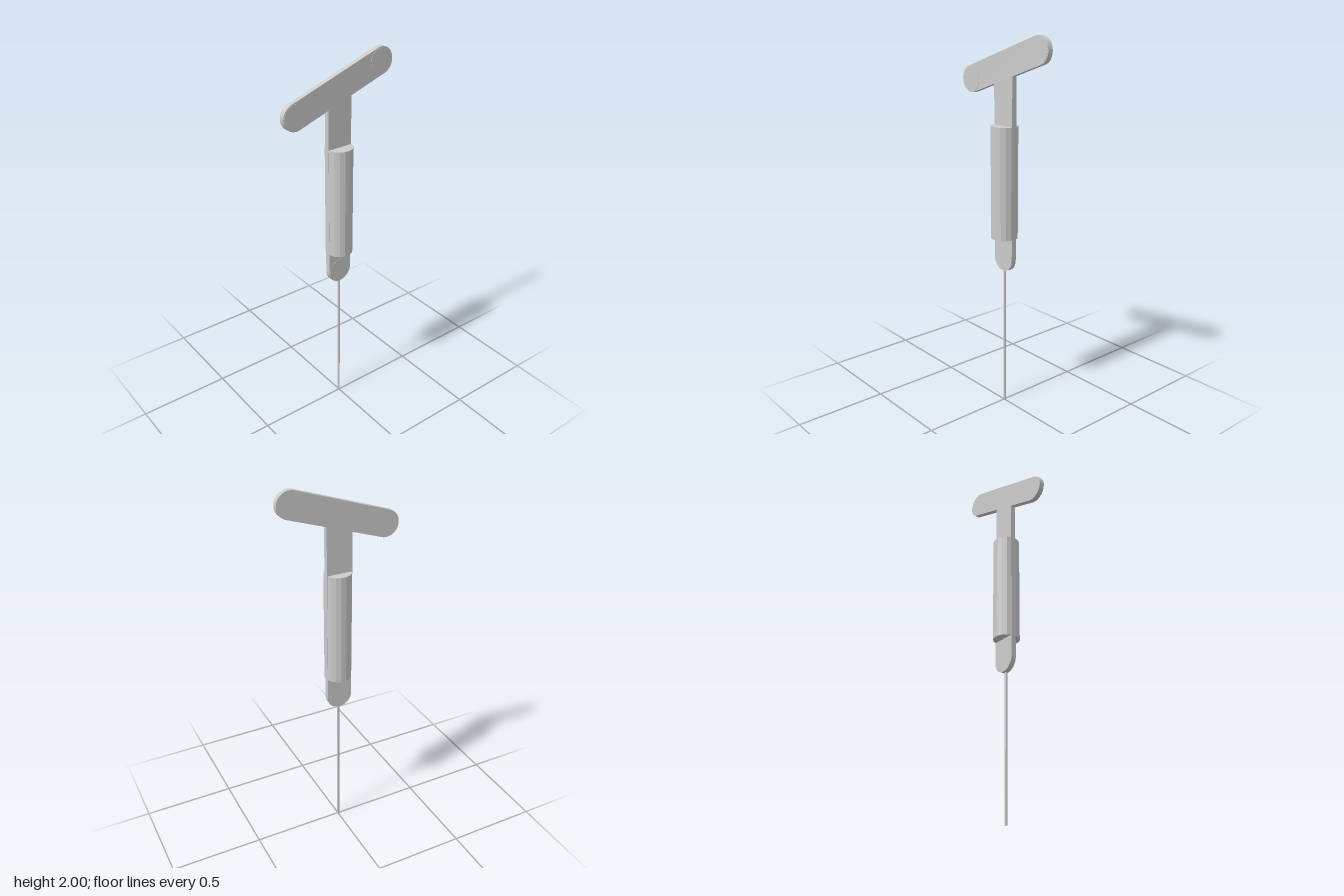
import * as THREE from 'three';

export function createModel() {
  const model = new THREE.Group();
  const material = new THREE.MeshStandardMaterial({ color: 0xcccccc, flatShading: true });
  const R = 0.069, BACK = -0.021, FRONT = 0.007;

  const add = (name, geometry, x = 0, y = 0, z = 0) => {
    const mesh = new THREE.Mesh(geometry, material);
    mesh.name = name;
    mesh.position.set(x, y, z);
    model.add(mesh);
    return mesh;
  };

  // Flat plate in one outline: round foot, stem and slanted crossbar
  const left = new THREE.Vector2(0.25, 1.931);
  const right = new THREE.Vector2(-0.254, 1.76);
  const slant = Math.atan2(left.y - right.y, left.x - right.x);
  const underside = (x) =>
    right.y + (x - right.x) * Math.tan(slant) - R / Math.cos(slant);
  const footY = 0.842;
  const outline = new THREE.Shape();
  outline.moveTo(-R, underside(-R));
  outline.lineTo(-R, footY);
  outline.absarc(0, footY, R, Math.PI, 2 * Math.PI, false);
  outline.lineTo(R, underside(R));
  outline.absarc(left.x, left.y, R, slant - Math.PI / 2, slant + Math.PI / 2, false);
  outline.absarc(right.x, right.y, R, slant + Math.PI / 2, slant + Math.PI * 1.5, false);
  outline.closePath();
  add('plate', new THREE.ExtrudeGeometry(outline, {
    depth: FRONT - BACK, bevelEnabled: false, curveSegments: 16,
  }), 0, 0, BACK);

  // Thin raised discs on the front of the three rounded ends
  const discs = [['leftDisc', left.x, left.y], ['rightDisc', right.x, right.y], ['footDisc', 0, footY]];
  for (const [name, x, y] of discs) {
    const disc = new THREE.CylinderGeometry(0.065, 0.065, 0.006, 32).rotateX(Math.PI / 2);
    add(name, disc, x, y, FRONT - 0.001);
  }

  // Faceted grip around the stem, with a flat facing front
  const grip = new THREE.CylinderGeometry(0.0705, 0.0705, 0.59, 16).rotateY(Math.PI / 16);
  add('grip', grip, 0.001, 1.252, -0.001);

  // Slender rod from the foot down to the ground
  add('rod', new THREE.CylinderGeometry(0.007, 0.007, 0.79, 8), 0, 0.395, -0.004);

  return model;
}
